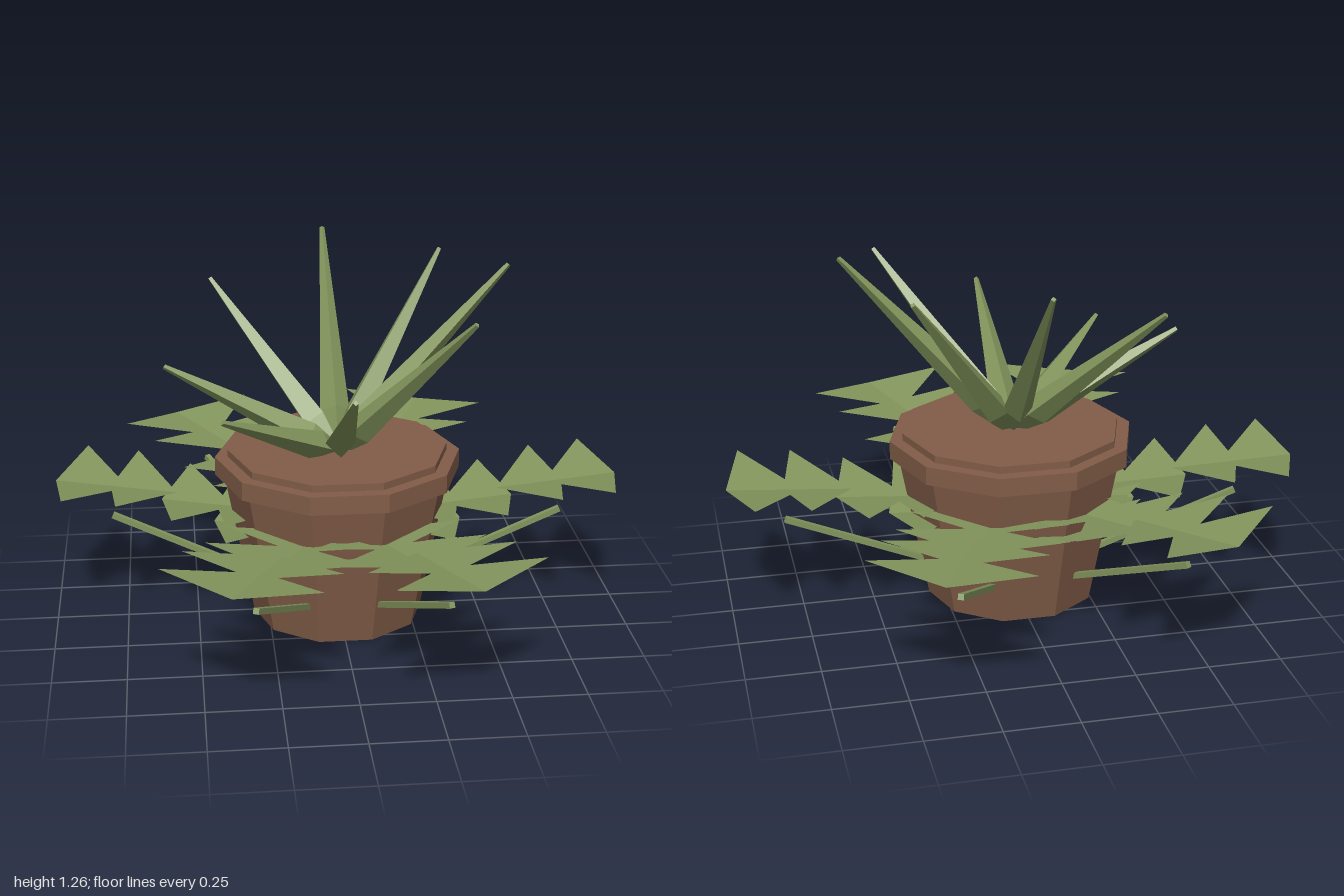
import * as THREE from 'three';

const green = new THREE.MeshStandardMaterial({ color: 0x84965d });
green.name = 'leafGreen';
green.side = THREE.DoubleSide;
const brown = new THREE.MeshStandardMaterial({ color: 0x825d48 });
brown.name = 'clayBrown';

// Faceted turned solid from [radius, y] points
function facetedLathe(points, sides, phiStart = 0) {
  const g = new THREE.LatheGeometry(points.map(([r, y]) => new THREE.Vector2(r, y)), sides, phiStart).toNonIndexed();
  g.computeVertexNormals();
  return g;
}

function part(name, geometry, material) {
  const m = new THREE.Mesh(geometry, material);
  m.name = name;
  return m;
}

// Toothed leaf along +x, folded upward on both sides of its spine
function leafGeometry() {
  const outline = [[1.0, 0], [0.93, 0.275], [0.79, 0.07], [0.745, 0.275], [0.57, 0]];
  const faces = [[0, 1, 2], [0, 2, 4], [2, 3, 4]];
  const pos = [];
  for (const side of [1, -1]) {
    for (const f of faces) {
      for (const i of side > 0 ? [...f].reverse() : f) {
        const [x, s] = outline[i];
        pos.push(x, 0.47 - (1 - x) * 0.09 + s * 0.14, -side * s);
      }
    }
  }
  const g = new THREE.BufferGeometry();
  g.setAttribute('position', new THREE.Float32BufferAttribute(pos, 3));
  // make the upper side the front
  for (let i = 0; i < pos.length; i += 9) {
    const a = new THREE.Vector3().fromArray(pos, i);
    const b = new THREE.Vector3().fromArray(pos, i + 3);
    const c = new THREE.Vector3().fromArray(pos, i + 6);
    if (b.clone().sub(a).cross(c.clone().sub(a)).y < 0) {
      g.attributes.position.setXYZ(i / 3 + 1, c.x, c.y, c.z);
      g.attributes.position.setXYZ(i / 3 + 2, b.x, b.y, b.z);
    }
  }
  g.computeVertexNormals();
  return g;
}

// Straight tapered blade from a to b in the xy plane
function between(mesh, x0, y0, x1, y1) {
  mesh.position.set(x0, y0, 0);
  mesh.rotation.z = -Math.atan2(x1 - x0, y1 - y0);
  return mesh;
}

export function createModel() {
  const model = new THREE.Group();
  model.name = 'pottedPlant';

  // Ten-sided pot, rim and raised soil
  const turn = Math.PI / 10;
  model.add(part('pot', facetedLathe([[0, 0], [0.3, 0], [0.4, 0.53]], 10, turn), brown));
  model.add(part('rim', facetedLathe([[0.38, 0.525], [0.43, 0.525], [0.43, 0.59], [0.37, 0.59]], 10, turn), brown));
  model.add(part('soil', facetedLathe([[0.385, 0.58], [0.385, 0.615], [0, 0.615]], 10, turn), brown));

  // Eight upright spikes: tip x, y, z
  const tips = [
    [0.585, 1.255, 0], [0.41, 1.21, -0.42], [0, 1.255, -0.595], [-0.42, 1.12, -0.42],
    [-0.595, 0.925, 0], [-0.415, 0.86, 0.41], [0, 0.975, 0.59], [0.41, 1.165, 0.41],
  ];
  for (const [x, y, z] of tips) {
    const r = Math.hypot(x, z), len = Math.hypot(r, y - 0.6);
    const g = facetedLathe([[0, 0], [0.02, 0], [0.052, len * 0.17], [0.009, len], [0, len]], 4);
    const arm = new THREE.Group();
    arm.name = 'spikeArm';
    arm.rotation.y = Math.atan2(-z, x);
    arm.add(between(part('spike', g, green), 0, 0.6, r, y));
    model.add(arm);
  }

  // Six fronds, each of three stepped leaves above one stem
  const leaf = leafGeometry();
  const stem = new THREE.BoxGeometry(0.02, 0.55, 0.02).translate(0, 0.275, 0);
  const directions = [[1, -0.025], [0.365, 0.93], [-0.41, 0.91], [-1, -0.14], [-0.56, -0.845], [0.41, -0.92]];
  for (const [x, z] of directions) {
    const frond = new THREE.Group();
    frond.name = 'frond';
    frond.rotation.y = Math.atan2(-z, x);
    for (const [dx, dy] of [[0, 0], [-0.375, -0.065], [-0.56, -0.145]]) {
      const m = part('leaf', leaf, green);
      m.position.set(dx, dy, 0);
      frond.add(m);
    }
    frond.add(between(part('stem', stem, green), 0.295, 0.13, 0.8, 0.34));
    model.add(frond);
  }
  return model;
}
